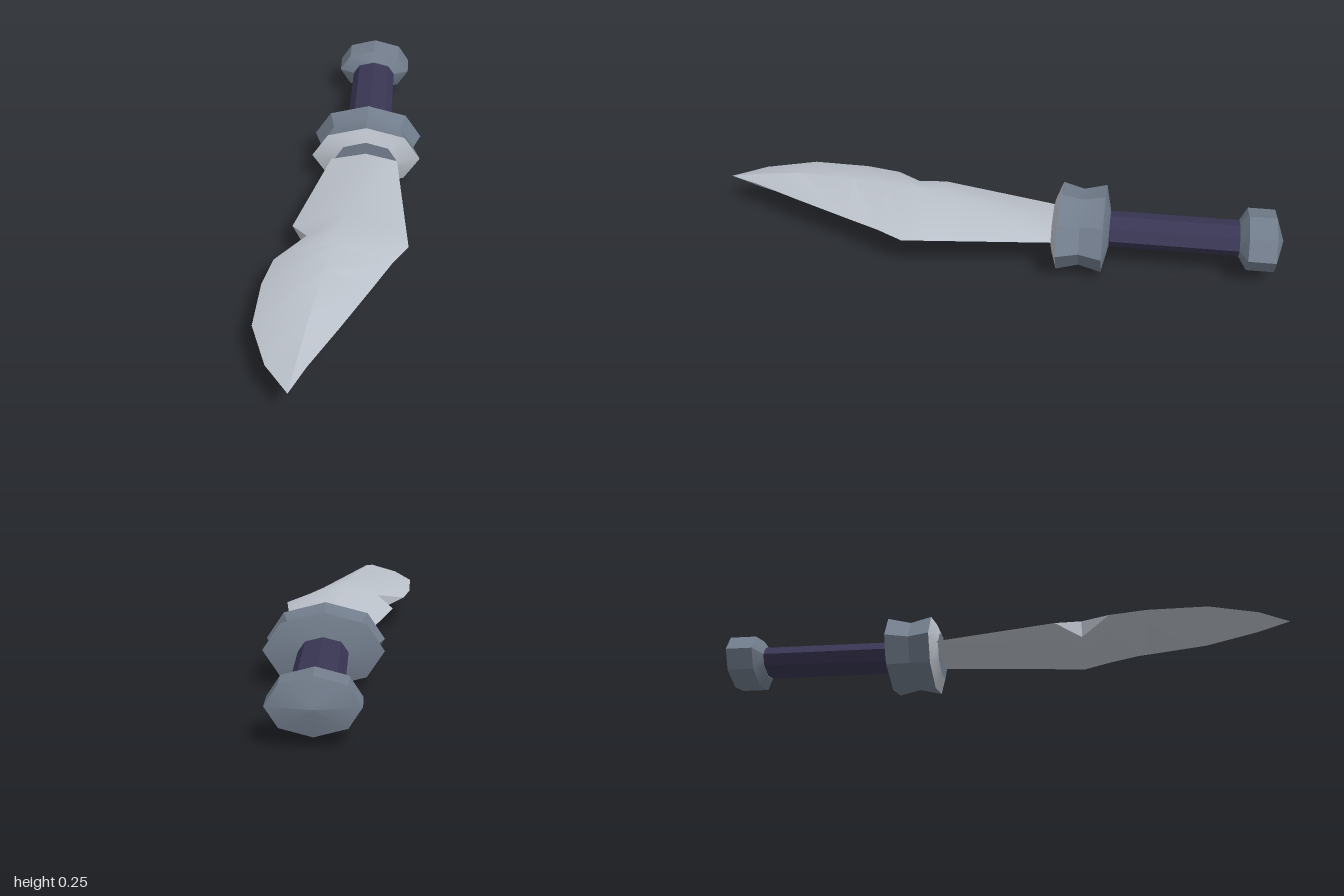
import * as THREE from 'three';
import { toCreasedNormals } from 'three/addons/utils/BufferGeometryUtils.js';

const AXIS_X = 0.05, AXIS_Y = 0.127;

const material = (name, color, side = THREE.FrontSide) => {
  const m = new THREE.MeshStandardMaterial({ color, side });
  m.name = name;
  return m;
};

// Eight-sided turned part along z, flattened in height; profile is [radius, z] from back to front
function turned(name, profile, flatten, mat) {
  const lathe = new THREE.LatheGeometry(profile.map(([r, z]) => new THREE.Vector2(r, z)), 8);
  lathe.rotateX(Math.PI / 2);
  lathe.scale(1, flatten, 1);
  lathe.translate(AXIS_X, AXIS_Y, 0);
  const mesh = new THREE.Mesh(toCreasedNormals(lathe, 0.44), mat);
  mesh.name = name;
  return mesh;
}

// Diamond cross-sections joined along z
function bladeGeometry() {
  // z, left edge x, left edge half thickness, ridge x, ridge half height, right edge x
  const sections = [
    [-0.22, -0.075, 0, 0.05, 0.028, 0.165],
    [0.2, -0.177, 0, 0.008, 0.07, 0.21],
    [0.29, -0.12, 0.03, -0.004, 0.077, 0.22],
    [0.385, -0.22, 0, -0.02, 0.075, 0.167],
    [0.51, -0.245, 0, -0.04, 0.07, 0.11],
    [0.71, -0.25, 0, -0.07, 0.059, 0.017],
    [0.88, -0.19, 0, -0.093, 0.028, -0.065],
    [0.992, -0.11, 0, -0.11, 0, -0.11],
  ];
  const position = [], index = [];
  for (const [z, left, edge, ridge, high, right] of sections) {
    position.push(
      left, AXIS_Y + edge, z,
      ridge, AXIS_Y + high, z,
      right, AXIS_Y, z,
      ridge, AXIS_Y - high, z,
      left, AXIS_Y - edge, z,
    );
  }
  for (let i = 0; i < sections.length - 1; i++) {
    for (let j = 0; j < 5; j++) {
      const a = i * 5 + j, b = i * 5 + (j + 1) % 5;
      index.push(a, a + 5, b, b, a + 5, b + 5);
    }
  }
  const g = new THREE.BufferGeometry();
  g.setAttribute('position', new THREE.Float32BufferAttribute(position, 3));
  g.setIndex(index);
  return toCreasedNormals(g, 0.78);
}

export function createModel() {
  const bladeMetal = material('blade metal', 0xbcc2cb);
  const darkSteel = material('dark steel', 0x737e8d);
  const gripNavy = material('grip navy', 0x393654);

  const model = new THREE.Group();
  model.name = 'knife';

  const blade = new THREE.Mesh(bladeGeometry(), bladeMetal);
  blade.name = 'blade';

  model.add(
    blade,
    // Waisted guard with a pale front collar and a dark socket plate
    turned('guard', [[0, -0.41], [0.082, -0.41], [0.198, -0.39], [0.173, -0.312], [0.198, -0.237]], 0.63, darkSteel),
    turned('guardCollar', [[0.198, -0.237], [0.115, -0.215]], 0.63, bladeMetal),
    turned('guardSocket', [[0.115, -0.215], [0, -0.215]], 0.66, darkSteel),
    turned('grip', [[0.082, -0.86], [0.082, -0.4]], 0.61, gripNavy),
    turned('pommel', [[0, -1], [0.138, -0.97], [0.138, -0.877], [0.082, -0.85], [0, -0.85]], 0.645, darkSteel),
  );
  return model;
}
